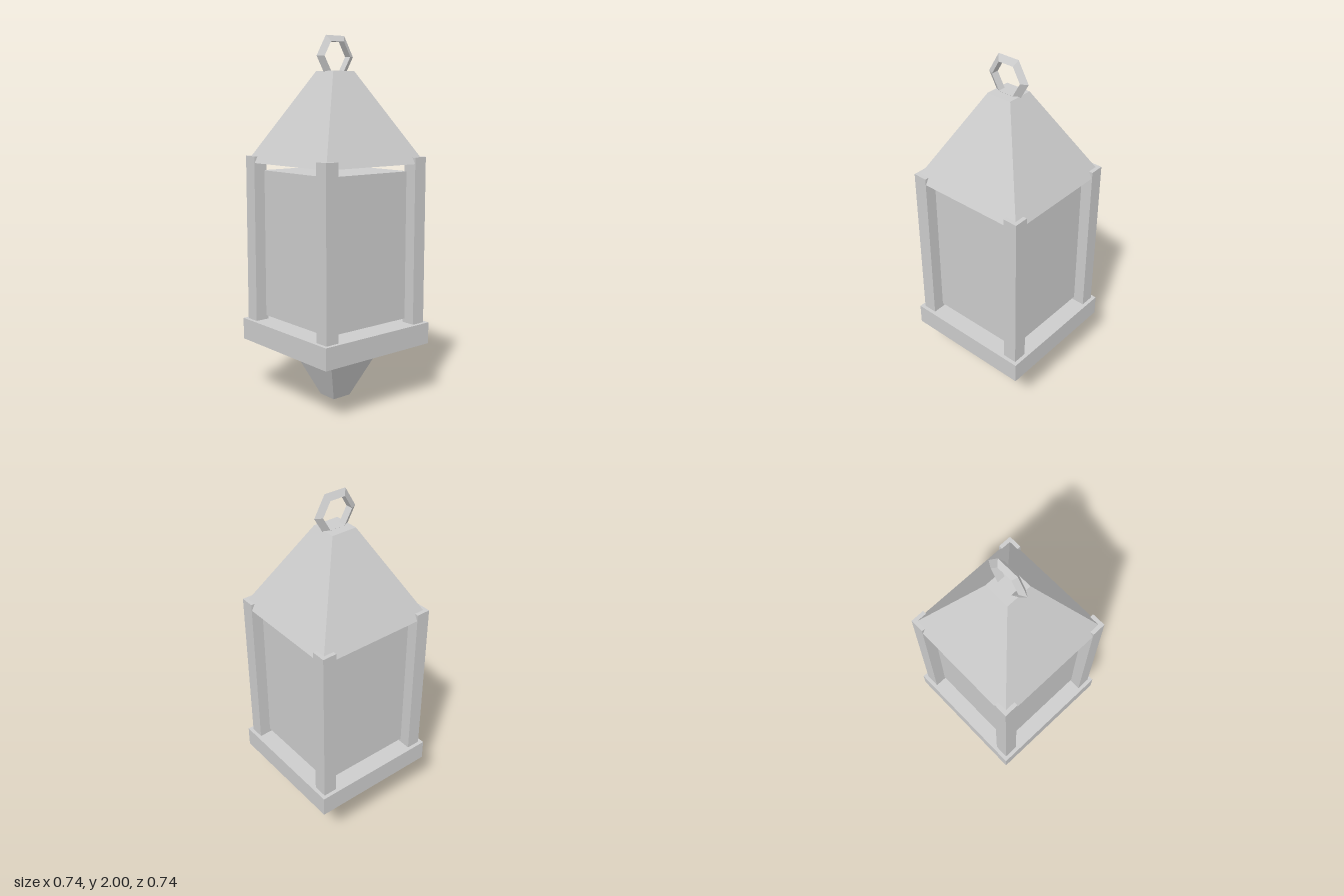
import * as THREE from 'three';

const paint = new THREE.MeshStandardMaterial({ color: 0xcccccc });
paint.name = 'light grey';

function add(group, name, geometry, x = 0, y = 0, z = 0) {
  const mesh = new THREE.Mesh(geometry, paint);
  mesh.name = name;
  mesh.position.set(x, y, z);
  group.add(mesh);
  return mesh;
}

// Box standing between two heights
function slab(group, name, width, y0, y1, x = 0, z = 0) {
  return add(group, name, new THREE.BoxGeometry(width, y1 - y0, width), x, (y0 + y1) / 2, z);
}

// Square frustum: a box whose top and bottom corners are moved to the given half widths
function frustum(group, name, halfBottom, halfTop, y0, y1) {
  const box = new THREE.BoxGeometry(2, y1 - y0, 2).toNonIndexed();
  const p = box.attributes.position;
  for (let i = 0; i < p.count; i++) {
    const half = p.getY(i) > 0 ? halfTop : halfBottom;
    p.setX(i, p.getX(i) * half);
    p.setZ(i, p.getZ(i) * half);
  }
  box.computeVertexNormals();
  return add(group, name, box, 0, (y0 + y1) / 2, 0);
}

export function createModel() {
  const lantern = new THREE.Group();
  lantern.name = 'lantern';

  // Tapered foot and base plate
  frustum(lantern, 'foot', 0.058, 0.194, 0, 0.315);
  slab(lantern, 'base', 0.738, 0.315, 0.435);

  // Lamp body, floating between base and roof
  slab(lantern, 'lampBody', 0.564, 0.457, 1.277);

  // Corner posts
  for (const x of [-1, 1]) {
    for (const z of [-1, 1]) slab(lantern, 'post', 0.08, 0.435, 1.356, x * 0.308, z * 0.308);
  }

  // Roof
  frustum(lantern, 'roof', 0.346, 0.073, 1.32, 1.812);

  // Hexagonal hanging ring with a triangular section
  const ring = new THREE.TorusGeometry(0.102, 0.025, 3, 6).toNonIndexed();
  ring.computeVertexNormals();
  add(lantern, 'hangingRing', ring, 0, 1.89, 0);

  return lantern;
}
